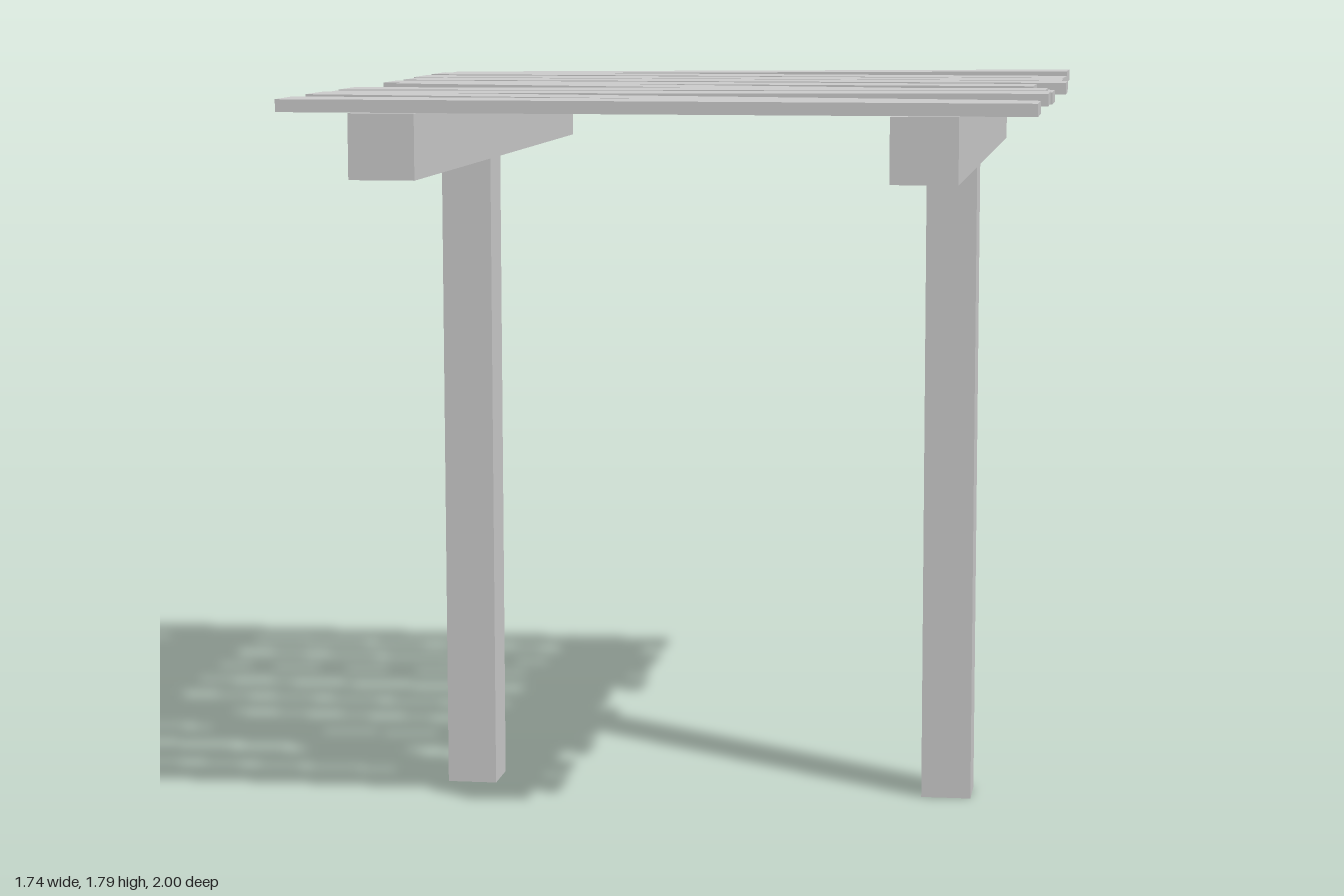
import * as THREE from 'three';

export function createModel() {
  const group = new THREE.Group();
  const material = new THREE.MeshStandardMaterial({ color: 0xcccccc, flatShading: true });

  function box(name, w, h, d, x, y, z) {
    const mesh = new THREE.Mesh(new THREE.BoxGeometry(w, h, d), material);
    mesh.name = name;
    mesh.position.set(x, y, z);
    group.add(mesh);
    return mesh;
  }

  // Two posts, each carrying a long beam
  for (const [side, postX, beamX] of [['right', -0.615, -0.617], ['left', 0.603, 0.603]]) {
    box(side + 'Post', 0.124, 1.605, 0.125, postX, 0.8025, 0.035);
    box(side + 'Beam', 0.152, 0.15, 2, beamX, 1.68, 0);
  }

  // Uneven roof planks: start x, end x, start z, end z, start y, end y
  const planks = [
    [-0.865, 0.85, -0.905, -0.892, 1.766, 1.78],
    [-0.865, 0.85, -0.723, -0.672, 1.77, 1.77],
    [-0.865, 0.85, -0.497, -0.497, 1.77, 1.77],
    [-0.85, 0.867, -0.31, -0.318, 1.77, 1.77],
    [-0.855, 0.796, -0.113, -0.087, 1.77, 1.77],
    [-0.775, 0.85, 0.1, 0.1, 1.776, 1.763],
    [-0.87, 0.84, 0.298, 0.31, 1.768, 1.775],
    [-0.86, 0.855, 0.5, 0.488, 1.768, 1.775],
    [-0.847, 0.835, 0.695, 0.724, 1.773, 1.763],
    [-0.865, 0.85, 0.905, 0.905, 1.77, 1.77],
  ];
  planks.forEach(([x0, x1, z0, z1, y0, y1], i) => {
    const plank = box('plank' + (i + 1), Math.hypot(x1 - x0, z1 - z0), 0.029, 0.152,
      (x0 + x1) / 2, (y0 + y1) / 2, (z0 + z1) / 2);
    plank.rotation.set(0, -Math.atan2(z1 - z0, x1 - x0), Math.atan2(y1 - y0, x1 - x0));
  });

  return group;
}
